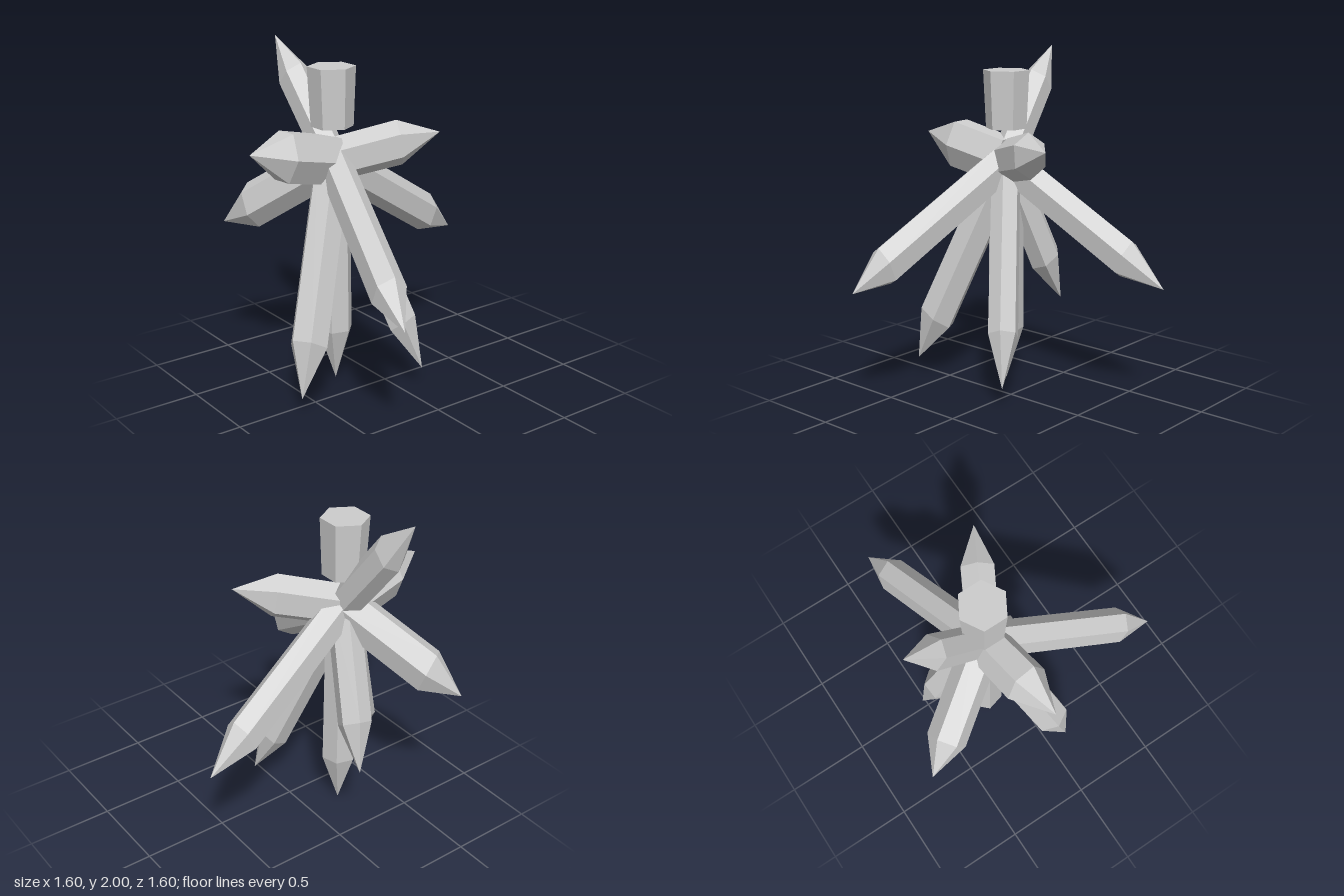
import * as THREE from 'three';

// Shared centre from which every crystal grows
const HUB = new THREE.Vector3(-0.205, 1.35, 0.215);
// Crystal cross-sections are taller than wide by this factor
const TALL = 1.27;
const BASE_RATIO = 0.97;

// tip, shoulder radius, shoulder position along the length, roll in degrees
const CRYSTALS = [
  ['upperRightCrystal', [-0.695, 2.0, 0.27], 0.092, 0.67, 0],
  ['lowerRightCrystal', [-0.8, 0.905, 0.6], 0.112, 0.72, 15],
  ['hangingRightCrystal', [-0.565, 0.46, 0.08], 0.098, 0.7, 0],
  ['hangingCentreCrystal', [-0.205, 0, 0.215], 0.105, 0.76, 15],
  ['hangingFrontCrystal', [0.11, 0.11, 0.66], 0.112, 0.78, 35],
  ['hangingBackCrystal', [0.21, 0.12, -0.115], 0.092, 0.77, 8],
  ['longLeftCrystal', [0.795, 0.7, 0.475], 0.099, 0.8, -8],
  ['frontCrystal', [-0.14, 1.48, 0.795], 0.125, 0.6, 30],
  ['backLeftCrystal', [0.09, 1.49, -0.325], 0.105, 0.62, 0],
  ['longBackCrystal', [-0.38, 0.71, -0.8], 0.097, 0.77, 8],
];

// Six-sided pointed prism running from the hub to its tip
function makeCrystal([name, tip, radius, shoulder, roll], material) {
  const axis = new THREE.Vector3(...tip).sub(HUB);
  axis.y /= TALL;
  const length = axis.length();
  axis.normalize();
  const profile = [[0, 0], [radius * BASE_RATIO, 0], [radius, length * shoulder], [0, length]]
    .map(([r, h]) => new THREE.Vector2(r, h));
  const geometry = new THREE.LatheGeometry(profile, 6);
  geometry.rotateY(THREE.MathUtils.degToRad(roll));

  // One long edge faces up, or forward on the vertical crystal
  const edge = Math.abs(axis.y) > 0.98 ? new THREE.Vector3(0, 0, 1) : new THREE.Vector3(0, 1, 0);
  edge.addScaledVector(axis, -edge.dot(axis)).normalize();
  const side = new THREE.Vector3().crossVectors(axis, edge);
  geometry.applyMatrix4(new THREE.Matrix4().makeBasis(side, axis, edge));
  geometry.scale(1, TALL, 1);

  const mesh = new THREE.Mesh(geometry, material);
  mesh.position.copy(HUB);
  mesh.name = name;
  return mesh;
}

export function createModel() {
  const model = new THREE.Group();
  model.name = 'crystalCluster';
  const stone = new THREE.MeshStandardMaterial({ color: 0xcccccc, flatShading: true });
  stone.name = 'light grey crystal';

  for (const spec of CRYSTALS) model.add(makeCrystal(spec, stone));

  // Flat-topped hexagonal mount above the hub
  const mountGeometry = new THREE.CylinderGeometry(0.137, 0.121, 0.34, 6);
  mountGeometry.rotateY(Math.PI / 6);
  const mount = new THREE.Mesh(mountGeometry, stone);
  mount.position.set(HUB.x, 1.715, HUB.z);
  mount.name = 'topMount';
  model.add(mount);

  return model;
}
